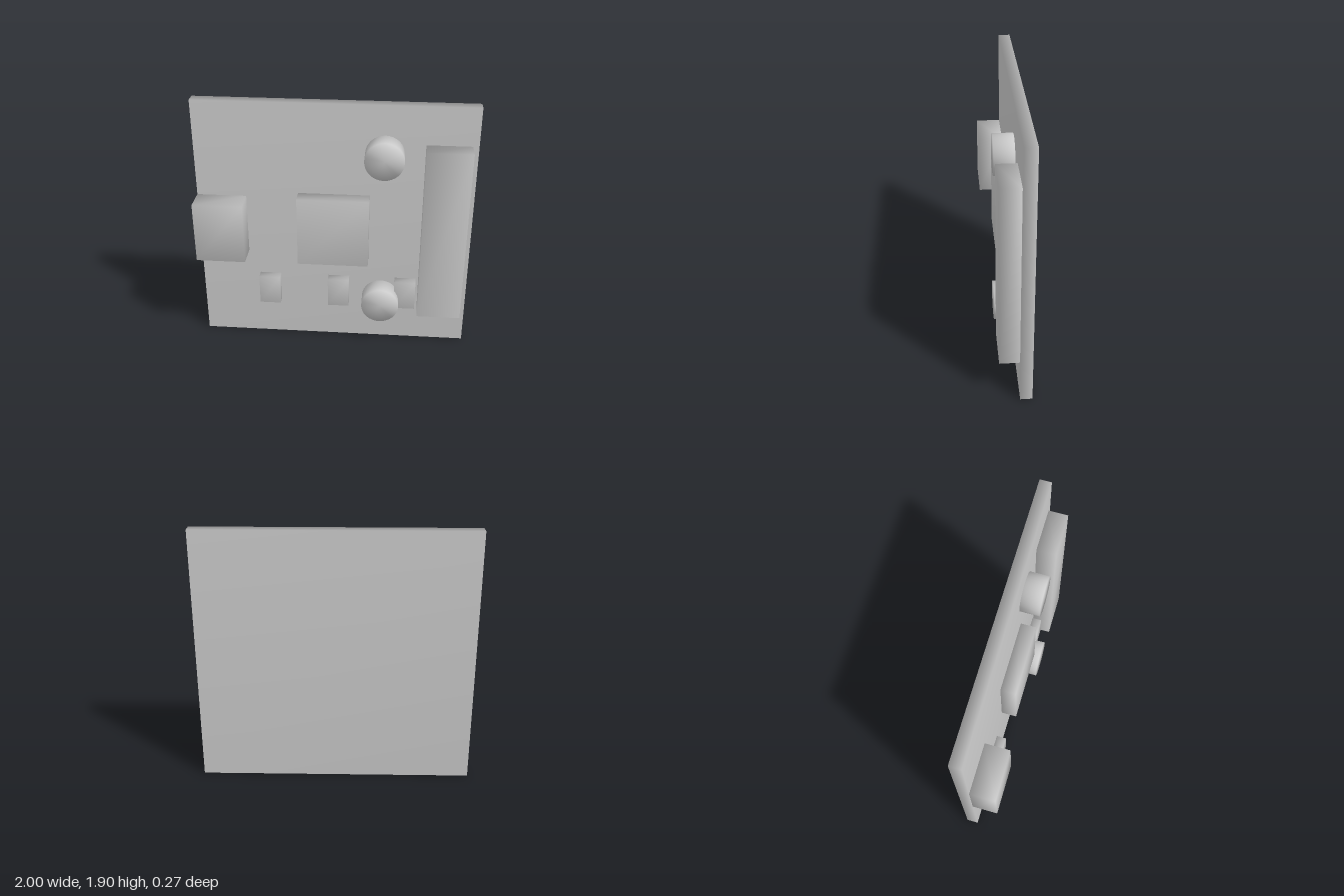
import * as THREE from 'three';
import { mergeVertices } from 'three/addons/utils/BufferGeometryUtils.js';

const material = new THREE.MeshStandardMaterial({ color: 0xcccccc });
const BACK = -0.133, FACE = -0.049; // rear and front planes of the board

// Weld all corners so the normals blend softly across edges
function soften(geometry) {
  geometry.deleteAttribute('normal');
  geometry.deleteAttribute('uv');
  const welded = mergeVertices(geometry);
  welded.computeVertexNormals();
  return welded;
}

function part(name, geometry, x, y, z) {
  const mesh = new THREE.Mesh(soften(geometry), material);
  mesh.name = name;
  mesh.position.set(x, y, z);
  return mesh;
}

// Block given by its extents
function block(name, x0, x1, y0, y1, z0, z1) {
  const geometry = new THREE.BoxGeometry(x1 - x0, y1 - y0, z1 - z0);
  return part(name, geometry, (x0 + x1) / 2, (y0 + y1) / 2, (z0 + z1) / 2);
}

export function createModel() {
  const group = new THREE.Group();
  group.name = 'circuitBoard';

  group.add(
    block('board', -1, 1, 0, 1.9, BACK, FACE),
    block('edgeConnector', -1, -0.64, 0.727, 1.18, FACE, 0.133),
    block('mainChip', -0.26, 0.258, 0.69, 1.219, FACE, 0.062),
    block('pinHeader', 0.638, 0.957, 0.289, 1.62, FACE, 0.091),
  );

  // Row of small chips along the lower edge
  for (const x of [-0.483, 0.038, 0.538]) {
    group.add(block('smallChip', x - 0.079, x + 0.079, 0.307, 0.535, FACE, 0.021));
  }

  // Round capacitors standing out from the face
  const height = 0.091 - FACE;
  for (const y of [1.543, 0.366]) {
    const geometry = new THREE.CylinderGeometry(0.139, 0.139, height, 32).rotateX(Math.PI / 2);
    group.add(part('capacitor', geometry, 0.356, y, FACE + height / 2));
  }

  return group;
}
